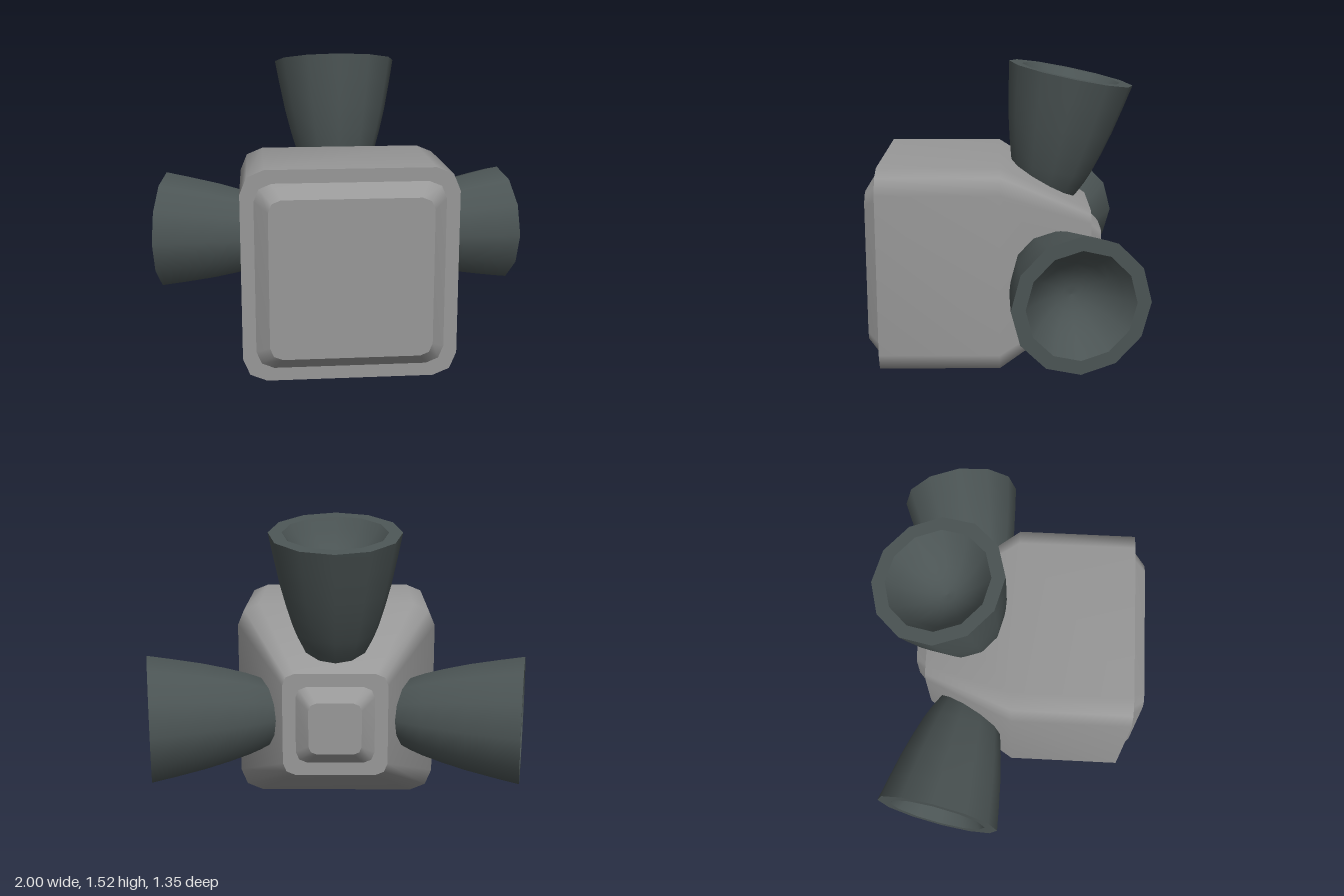
import * as THREE from 'three';

const bodyGrey = new THREE.MeshStandardMaterial({ name: 'bodyGrey', color: 0x989898 });
const nozzleGrey = new THREE.MeshStandardMaterial({ name: 'darkSlate', color: 0x4b5454 });

const CENTRE_Y = 0.522;

// Rounded square, counter-clockwise seen from +z, three points per corner
function roundedSquare(half, radius) {
  const points = [];
  for (let corner = 0; corner < 4; corner++) {
    const mid = Math.PI / 4 + (corner * Math.PI) / 2;
    const cx = Math.sign(Math.cos(mid)) * (half - radius);
    const cy = Math.sign(Math.sin(mid)) * (half - radius);
    for (let k = -1; k <= 1; k++) {
      const a = mid + (k * Math.PI) / 4;
      points.push(new THREE.Vector2(cx + radius * Math.cos(a), cy + radius * Math.sin(a)));
    }
  }
  return points;
}

// Smooth skin through rounded squares [z, half, radius], ordered from back to front
function loft(sections) {
  const positions = [];
  const index = [];
  const n = 12;
  for (const [z, half, radius] of sections) {
    for (const p of roundedSquare(half, radius)) positions.push(p.x, p.y, z);
  }
  for (let s = 0; s < sections.length - 1; s++) {
    for (let i = 0; i < n; i++) {
      const j = (i + 1) % n;
      const a = s * n + i, b = s * n + j, c = b + n, d = a + n;
      index.push(a, b, c, a, c, d);
    }
  }
  const geometry = new THREE.BufferGeometry();
  geometry.setAttribute('position', new THREE.Float32BufferAttribute(positions, 3));
  geometry.setIndex(index);
  geometry.computeVertexNormals();
  return geometry;
}

// Flat end face, facing +z or -z
function endFace([z, half, radius], facing) {
  const geometry = new THREE.ShapeGeometry(new THREE.Shape(roundedSquare(half, radius)));
  if (facing < 0) geometry.rotateY(Math.PI);
  return geometry.translate(0, 0, z);
}

function addMesh(parent, name, geometry, material) {
  const mesh = new THREE.Mesh(geometry, material);
  mesh.name = name;
  parent.add(mesh);
}

// Flared nozzle around +y, with its mouth at y = 0
function createNozzle(name) {
  const nozzle = new THREE.Group();
  nozzle.name = name;
  const v = (x, y) => new THREE.Vector2(x, y);
  const outside = new THREE.SplineCurve([
    v(0.1, -0.74), v(0.167, -0.602), v(0.214, -0.49), v(0.274, -0.268), v(0.325, 0),
  ]).getPoints(8);
  const bowl = [];
  for (let i = 0; i <= 6; i++) {
    const r = 0.258 * (1 - i / 6);
    bowl.push(v(r, -0.18 * (1 - (r / 0.258) ** 2)));
  }
  addMesh(nozzle, name + 'Shell', new THREE.LatheGeometry(outside, 12), nozzleGrey);
  addMesh(nozzle, name + 'Rim', new THREE.LatheGeometry([v(0.325, 0), v(0.258, 0)], 12), nozzleGrey);
  addMesh(nozzle, name + 'Bowl', new THREE.LatheGeometry(bowl, 12), nozzleGrey);
  return nozzle;
}

export function createModel() {
  const model = new THREE.Group();
  model.name = 'thrusterBlock';

  // Block: straight front half, tapering towards the back
  const block = new THREE.Group();
  block.name = 'block';
  block.position.y = CENTRE_Y;
  model.add(block);
  const back = [-0.455, 0.26, 0.06];
  const middle = [0.01, 0.52, 0.115];
  const front = [0.61, 0.52, 0.115];
  addMesh(block, 'blockSides', loft([back, middle, front]), bodyGrey);
  addMesh(block, 'blockFront', endFace(front, 1), bodyGrey);
  addMesh(block, 'blockBack', endFace(back, -1), bodyGrey);

  // Bevelled plates on both ends
  const frontBase = [0.61, 0.455, 0.085], frontTop = [0.675, 0.39, 0.06];
  addMesh(block, 'frontPlateBevel', loft([frontBase, frontTop]), bodyGrey);
  addMesh(block, 'frontPlateFace', endFace(frontTop, 1), bodyGrey);
  const backBase = [-0.455, 0.195, 0.055], backTop = [-0.52, 0.13, 0.04];
  addMesh(block, 'backPlateBevel', loft([backTop, backBase]), bodyGrey);
  addMesh(block, 'backPlateFace', endFace(backTop, -1), bodyGrey);

  // Three nozzles around the taper, leaning backwards
  [['topNozzle', 0], ['leftNozzle', -1], ['rightNozzle', 1]].forEach(([name, turn]) => {
    const nozzle = createNozzle(name);
    nozzle.position.set(0, 0.936, -0.357);
    nozzle.rotation.x = -0.2;
    const mount = new THREE.Group();
    mount.name = name + 'Mount';
    mount.position.y = CENTRE_Y;
    mount.rotation.z = (turn * Math.PI) / 2;
    mount.add(nozzle);
    model.add(mount);
  });

  return model;
}
